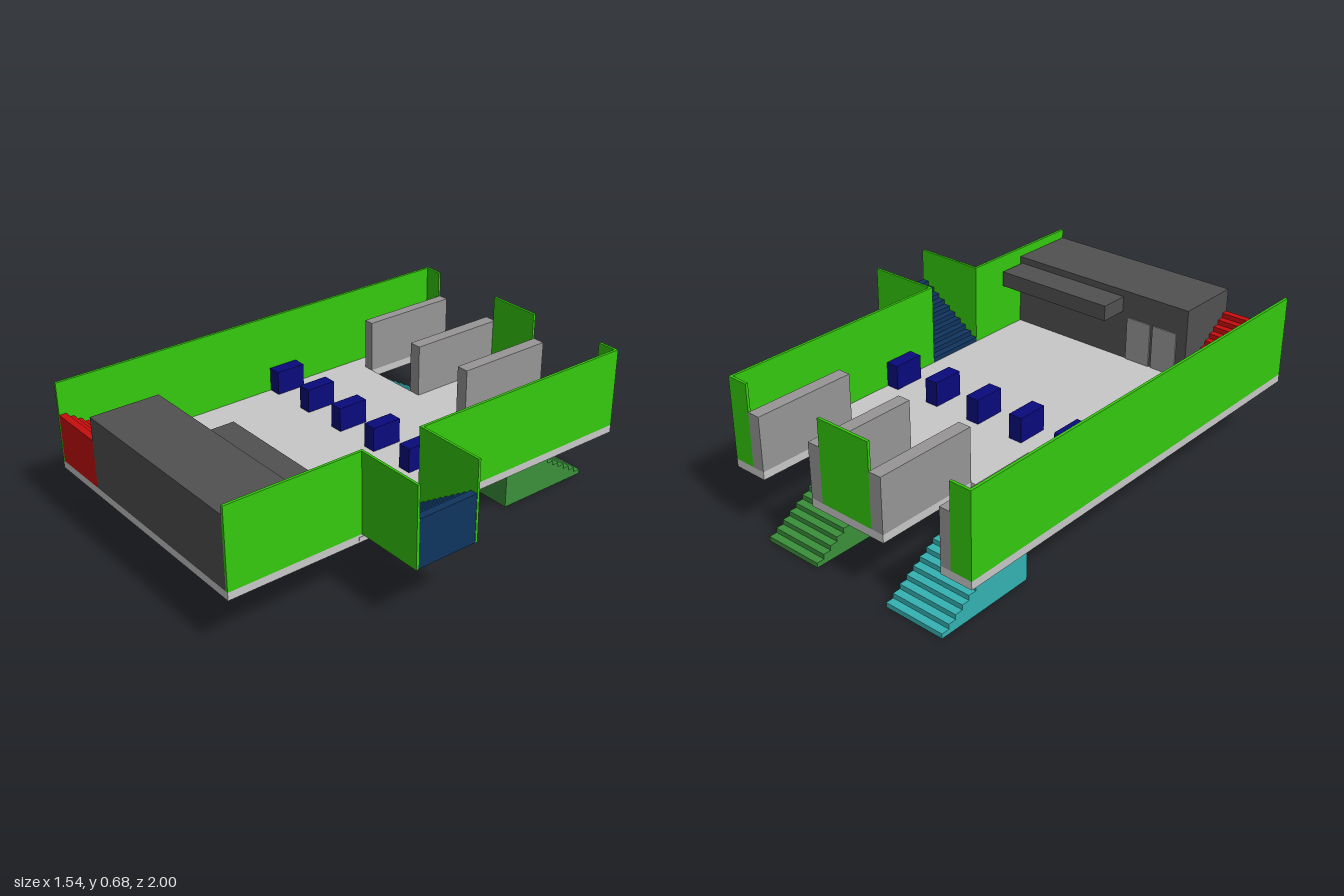
import * as THREE from 'three';

const material = (name, color) => {
  const m = new THREE.MeshStandardMaterial({ color });
  m.name = name;
  return m;
};

export function createModel() {
  const model = new THREE.Group();
  model.name = 'stationHall';

  const lightGrey = material('lightGrey', 0xc9c9c9);
  const midGrey = material('midGrey', 0x989696);
  const darkGrey = material('darkGrey', 0x515151);
  const brightGreen = material('brightGreen', 0x35ca0e);
  const stairGreen = material('stairGreen', 0x3b8f3b);
  const teal = material('teal', 0x35b3b3);
  const red = material('red', 0xc90d0d);
  const navy = material('navy', 0x10355f);
  const deepBlue = material('deepBlue', 0x0a0a7d);

  const add = (name, geometry, mat) => {
    const mesh = new THREE.Mesh(geometry, mat);
    mesh.name = name;
    model.add(mesh);
    return mesh;
  };
  // Box given by its limits on each axis
  const box = (name, mat, x0, x1, y0, y1, z0, z1) => {
    const mesh = add(name, new THREE.BoxGeometry(x1 - x0, y1 - y0, z1 - z0), mat);
    mesh.position.set((x0 + x1) / 2, (y0 + y1) / 2, (z0 + z1) / 2);
    return mesh;
  };
  // Solid flight climbing along +x before it is turned, centred across its width
  const stairs = (name, mat, run, rise, steps, width) => {
    const s = new THREE.Shape();
    s.moveTo(0, 0);
    for (let i = 0; i < steps; i++) {
      s.lineTo(i * run / steps, (i + 1) * rise / steps);
      s.lineTo((i + 1) * run / steps, (i + 1) * rise / steps);
    }
    s.lineTo(run, 0);
    const g = new THREE.ExtrudeGeometry(s, { depth: width, bevelEnabled: false });
    g.translate(0, 0, -width / 2);
    return add(name, g, mat);
  };

  const base = 0.28, floor = 0.315, top = 0.675;
  const left = -0.768, right = 0.452, t = 0.012;
  const wells = [[-0.625, -0.348], [0.022, 0.296]];
  const wellEnd = -0.535;

  // Floor slab, notched at the back for the two stairwells
  const plan = new THREE.Shape();
  plan.moveTo(left, -1);
  plan.lineTo(right, -1);
  plan.lineTo(right, 1);
  for (const [x0, x1] of [...wells].reverse()) {
    plan.lineTo(x1, 1);
    plan.lineTo(x1, -wellEnd);
    plan.lineTo(x0, -wellEnd);
    plan.lineTo(x0, 1);
  }
  plan.lineTo(left, 1);
  const slab = new THREE.ExtrudeGeometry(plan, { depth: floor - base, bevelEnabled: false });
  slab.rotateX(-Math.PI / 2);
  slab.translate(0, base, 0);
  add('floorSlab', slab, lightGrey);
  box('sidePlate', lightGrey, right, right + 0.003, 0.29, 0.305, 0.19, 0.405);

  // Stairs down through the wells, with a parapet on each side
  wells.forEach(([x0, x1], i) => {
    const flight = stairs('backStairs', i ? stairGreen : teal, wellEnd + 1, base, 13, x1 - x0);
    flight.rotation.y = -Math.PI / 2;
    flight.position.set((x0 + x1) / 2, 0, -1);
    const w = i ? 0.058 : 0.048;
    box('parapet', midGrey, x0 - w, x0, floor, 0.555, -1, wellEnd);
    box('parapet', midGrey, x1, x1 + 0.058, floor, 0.555, -1, wellEnd);
  });

  // Outer walls
  box('leftLongWall', brightGreen, left, left + t, floor, top, -1, 1);
  box('rightWallBack', brightGreen, right - t, right, floor, top, -1, 0.1);
  box('rightWallFront', brightGreen, right - t, right, floor, top, 0.38, 1);
  for (const [x0, x1] of [[left + t, -0.673], [-0.29, -0.036], [0.354, right - t]])
    box('backWall', brightGreen, x0, x1, floor, top, -1, -1 + t);

  // Side exit with its stairs and two flanking walls
  const sideFlight = stairs('sideStairs', navy, 0.325, 0.215, 10, 0.28);
  sideFlight.position.set(0.44, floor, 0.24);
  box('sideExitWall', brightGreen, right, 0.767, floor, top, 0.089, 0.1);
  box('sideExitWall', brightGreen, right, 0.767, floor, top, 0.38, 0.391);

  // Front exit stairs
  const frontFlight = stairs('frontStairs', red, 0.32, 0.215, 10, 0.276);
  frontFlight.rotation.y = -Math.PI / 2;
  frontFlight.position.set(-0.618, floor, 0.68);

  // Office block with canopy and double door
  box('officeBlock', darkGrey, -0.48, 0.44, floor, 0.635, 0.69, 1);
  box('canopy', darkGrey, -0.145, 0.43, 0.535, 0.605, 0.555, 0.69);
  for (const x of [-0.43, -0.295])
    box('doorPanel', midGrey, x, x + 0.122, floor, 0.515, 0.684, 0.69);

  // Row of ticket barriers
  for (let i = 0; i < 6; i++) {
    const x = -0.757 + i * 0.2275;
    box('ticketBarrier', deepBlue, x, x + 0.062, floor, 0.425, -0.188, -0.046);
  }

  return model;
}
